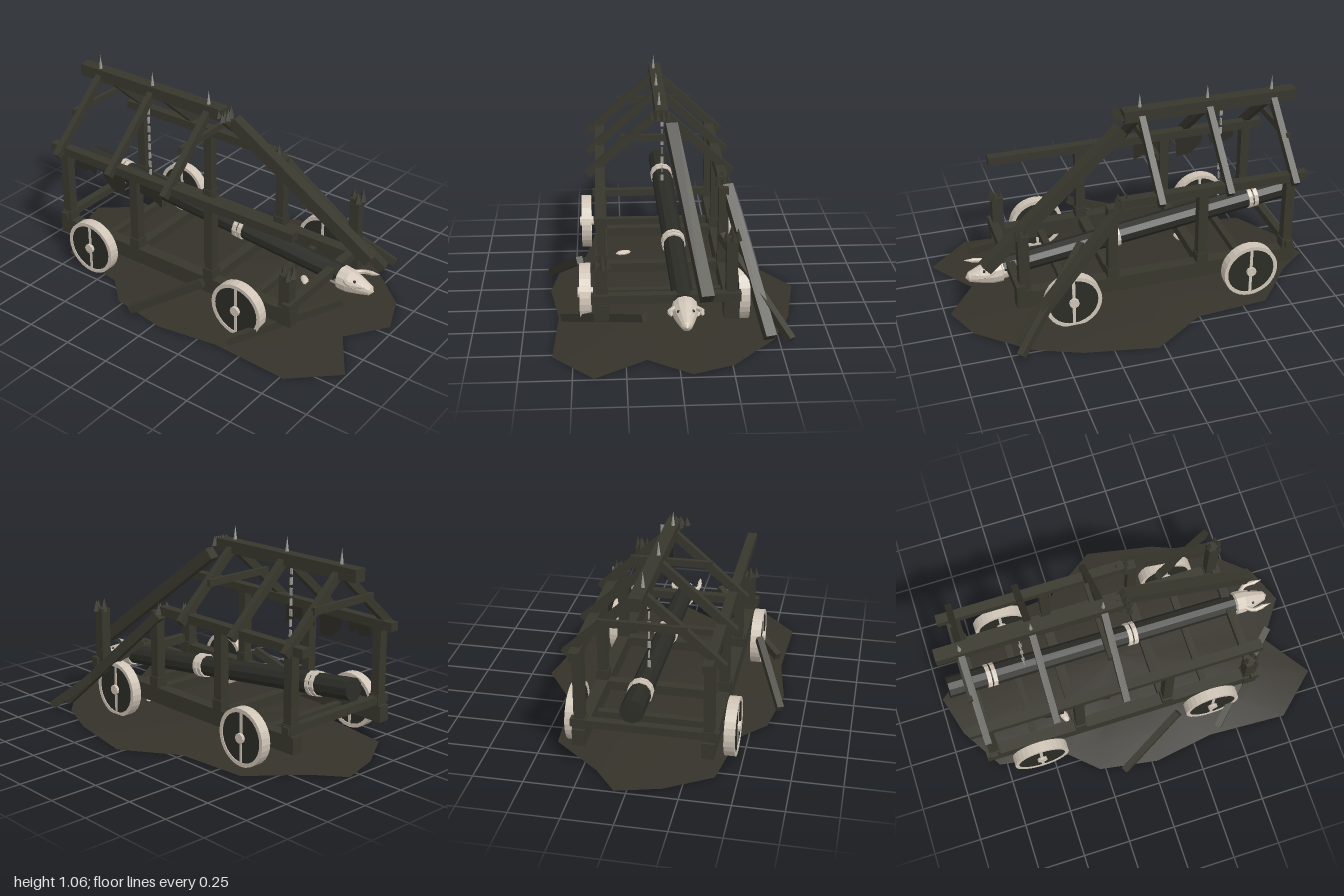
import * as THREE from 'three';

const mat = (name, hex) => {
  const m = new THREE.MeshStandardMaterial({ color: hex });
  m.name = name;
  m.flatShading = true;
  return m;
};

export function createModel() {
  const root = new THREE.Group();
  const wood = mat('weathered wood', 0x38372d);
  const log = mat('charred log', 0x2b2c26);
  const bone = mat('pale iron and bone', 0xcfc4b6);
  const steel = mat('grey steel', 0x9a9892);
  const earth = mat('dark earth', 0x35322a);
  earth.flatShading = false;
  const cloth = mat('torn hide', 0x2e2b24);
  earth.side = cloth.side = THREE.DoubleSide;

  const V = (x, y, z) => new THREE.Vector3(x, y, z);
  const add = (name, geo, m, x = 0, y = 0, z = 0, parent = root) => {
    const mesh = new THREE.Mesh(geo, m);
    mesh.name = name;
    mesh.position.set(x, y, z);
    parent.add(mesh);
    return mesh;
  };
  // square timber from point a to point b, w wide and h deep
  const beam = (name, a, b, w, h = w, m = wood) => {
    const A = V(...a), B = V(...b);
    const mesh = add(name, new THREE.BoxGeometry(w, h, A.distanceTo(B)), m);
    mesh.position.copy(A).add(B).multiplyScalar(0.5);
    mesh.lookAt(B);
    return mesh;
  };
  // round part whose own y axis points from a to b
  const rod = (name, a, b, r0, r1, sides, m) => {
    const A = V(...a), B = V(...b), d = B.clone().sub(A);
    const mesh = add(name, new THREE.CylinderGeometry(r1, r0, d.length(), sides), m);
    mesh.position.copy(A).add(B).multiplyScalar(0.5);
    mesh.quaternion.setFromUnitVectors(V(0, 1, 0), d.normalize());
    return mesh;
  };
  // jagged points on a snapped timber
  const splinters = (x, y, z, h = 0.07) => {
    for (const [dx, dz, k] of [[-0.028, 0.02, 0.85], [0.026, 0.018, 0.9], [0, -0.02, 1], [0.004, 0.03, 0.8]])
      add('splinter', new THREE.ConeGeometry(0.02, h * k, 4), wood, x + dx, y + h * k / 2 - 0.005, z + dz);
  };

  // ground mound: outline rising in rings to a low centre
  const outline = [[0.06, -0.99], [0.18, -0.84], [0.43, -0.63], [0.46, -0.25], [0.65, 0.03], [0.58, 0.4],
    [0.48, 0.64], [0.26, 0.89], [0.06, 0.97], [-0.15, 0.82], [-0.4, 0.99], [-0.6, 0.77], [-0.58, 0.35],
    [-0.63, 0.03], [-0.58, -0.28], [-0.45, -0.42], [-0.39, -0.79], [-0.16, -0.93]];
  const rings = [[1, 0], [0.75, 0.018], [0.45, 0.034], [0, 0.04]];
  const pos = [], idx = [], n = outline.length;
  for (const [s, y] of rings) for (const [x, z] of outline) pos.push(x * s, y, z * s);
  for (let r = 0; r < rings.length - 1; r++)
    for (let i = 0; i < n; i++) {
      const a = r * n + i, b = r * n + (i + 1) % n;
      idx.push(a, a + n, b);
      if (r < rings.length - 2) idx.push(b, a + n, b + n);
    }
  const mound = new THREE.BufferGeometry();
  mound.setAttribute('position', new THREE.Float32BufferAttribute(pos, 3));
  // corners run clockwise seen from below, so flip each face upward
  for (let i = 0; i < idx.length; i += 3) {
    const [a, b, c] = [idx[i], idx[i + 1], idx[i + 2]];
    const cr = (pos[b * 3 + 2] - pos[a * 3 + 2]) * (pos[c * 3] - pos[a * 3]) - (pos[b * 3] - pos[a * 3]) * (pos[c * 3 + 2] - pos[a * 3 + 2]);
    if (cr < 0) { idx[i + 1] = c; idx[i + 2] = b; }
  }
  mound.setIndex(idx);
  mound.computeVertexNormals();
  add('ground', mound, earth);

  // chassis rails, posts and upper rails
  const R = -0.36, L = 0.265;
  for (const x of [R, L]) {
    beam('chassisRail', [x, 0.173, -0.84], [x, 0.173, 0.665], 0.062, 0.085);
    for (const z of [0.16, -0.32, -0.795]) {
      beam('post', [x, 0.2, z], [x, 0.62, z], 0.05);
      add('postFoot', new THREE.BoxGeometry(0.064, 0.055, 0.06), wood, x, 0.24, z);
    }
    add('cornerBlock', new THREE.BoxGeometry(0.075, 0.1, 0.075), wood, x, 0.18, 0.625);
  }
  beam('brokenPost', [L, 0.2, 0.62], [L, 0.54, 0.62], 0.055);
  splinters(L, 0.53, 0.62);
  beam('brokenPost', [R, 0.2, 0.62], [R, 0.41, 0.62], 0.06);
  splinters(R, 0.4, 0.62, 0.065);
  beam('upperRail', [R, 0.633, -0.885], [R, 0.633, 0.655], 0.05, 0.045);
  beam('brokenUpperRail', [L, 0.633, -0.885], [L, 0.633, 0.12], 0.05, 0.045);
  splinters(L, 0.62, 0.1);

  // cross beams and axles
  beam('frontCrossBeam', [-0.41, 0.242, 0.645], [0.31, 0.242, 0.645], 0.045);
  for (const z of [0.15, -0.33]) beam('crossBeam', [-0.37, 0.19, z], [0.29, 0.19, z], 0.05, 0.05);
  beam('rearCrossBeam', [-0.41, 0.242, -0.8], [0.31, 0.242, -0.8], 0.04);
  for (const z of [0.39, -0.565]) {
    beam('axle', [-0.45, 0.155, z], [0.35, 0.155, z], 0.036);
    // wheels: plank disc, metal rim, strap and hub
    for (const s of [-1, 1]) {
      const w = new THREE.Group();
      w.name = 'wheel';
      w.position.set(s < 0 ? -0.442 : 0.342, 0.158, z);
      const turn = (mesh) => { mesh.rotation.z = Math.PI / 2; return mesh; };
      turn(add('wheelDisc', new THREE.CylinderGeometry(0.13, 0.13, 0.046, 24), log, 0, 0, 0, w));
      const rimShape = new THREE.Shape().absarc(0, 0, 0.147, 0, Math.PI * 2);
      rimShape.holes.push(new THREE.Path().absarc(0, 0, 0.127, 0, Math.PI * 2));
      const rim = add('wheelRim', new THREE.ExtrudeGeometry(rimShape, { depth: 0.054, bevelEnabled: false, curveSegments: 14 }), bone, -0.027, 0, 0, w);
      rim.rotation.y = Math.PI / 2;
      add('wheelStrap', new THREE.BoxGeometry(0.052, 0.26, 0.016), bone, 0, 0, 0, w);
      turn(add('wheelHub', new THREE.CylinderGeometry(0.026, 0.026, 0.078, 10), bone, 0, 0, 0, w));
      root.add(w);
    }
  }

  // roof frames, collars, ridge and iron spikes
  const cx = -0.04;
  for (const z of [-0.085, -0.45, -0.805]) {
    beam('rafter', [-0.425, 0.615, z], [cx, 0.955, z], 0.034, 0.042);
    beam('rafter', [0.325, 0.615, z], [cx, 0.955, z], 0.034, 0.042);
    rod('ridgeSpike', [cx - 0.01, 0.975, z], [cx - 0.01, 1.06, z], 0.011, 0, 6, steel);
  }
  for (const z of [-0.112, -0.825]) beam('collarTie', [-0.255, 0.798, z], [0.16, 0.798, z], 0.022, 0.036);
  beam('ridgeBeam', [cx, 0.953, -0.93], [cx, 0.953, 0.01], 0.065, 0.064);
  splinters(cx, 0.945, 0.01, 0.06);
  splinters(cx - 0.03, 0.945, 0.015, 0.055);
  beam('fallenRidge', [0.005, 0.905, 0.03], [0.135, 0.295, 0.79], 0.062, 0.062);

  // loose timbers leaning on the frame
  beam('leaningBeam', [0.285, 0.61, 0.12], [0.45, 0.04, 0.7], 0.055, 0.05);
  beam('leaningPlank', [0.24, 0.42, 0.31], [0.55, 0.03, 0.71], 0.035, 0.04);
  beam('leaningPlank', [-0.47, 0.245, 0.19], [-0.63, 0.03, -0.155], 0.035, 0.04);
  beam('leaningPlank', [-0.16, 0.22, 0.81], [-0.555, 0.03, 0.4], 0.035, 0.04);

  // ram log with hoops
  const ram = (z) => [0.012 + z * 0.032, 0.298 - z * 0.115, z];
  rod('ramLog', ram(-0.93), ram(0.68), 0.058, 0.052, 10, log);
  for (const z of [-0.715, -0.685, 0.065, 0.095]) rod('ramHoop', ram(z - 0.011), ram(z + 0.011), 0.063, 0.063, 12, bone);

  // beast head: collar, skull, muzzle, ears, horns
  const head = new THREE.Group();
  head.name = 'ramHead';
  head.position.set(0.035, 0.205, 0.72);
  head.rotation.x = 0.1;
  root.add(head);
  const profile = [[0, -0.09], [0.05, -0.09], [0.052, -0.035], [0.064, -0.03], [0.062, 0.02], [0.046, 0.08], [0.026, 0.14], [0, 0.158]];
  const skull = add('skull', new THREE.LatheGeometry(profile.map(p => new THREE.Vector2(...p)), 12), bone, 0, 0, 0, head);
  skull.rotation.x = Math.PI / 2;
  for (const s of [-1, 1]) {
    const pts = [V(s * 0.045, 0.025, 0.01), V(s * 0.075, 0.03, 0.05), V(s * 0.074, 0.045, 0.1)];
    add('horn', new THREE.TubeGeometry(new THREE.CatmullRomCurve3(pts), 5, 0.012, 6), bone, 0, 0, 0, head);
    const tip = add('hornTip', new THREE.ConeGeometry(0.012, 0.05, 6), bone, s * 0.073, 0.052, 0.122, head);
    tip.rotation.x = Math.PI / 2 - 0.3;
    add('eye', new THREE.SphereGeometry(0.009, 6, 4), log, s * 0.034, 0.032, 0.06, head);
  }

  // hanging chain, links turned by quarter steps
  for (let i = 0; i < 10; i++) {
    const flat = i % 2;
    add('chainLink', new THREE.BoxGeometry(flat ? 0.006 : 0.016, 0.036, flat ? 0.016 : 0.006), steel, -0.015, 0.43 + i * 0.053, -0.515);
  }

  // torn hides under the right upper rail
  const hides = [
    [[-0.15, 0.61], [-0.36, 0.61], [-0.355, 0.52], [-0.29, 0.54], [-0.22, 0.535], [-0.15, 0.5]],
    [[-0.39, 0.61], [-0.55, 0.61], [-0.54, 0.55], [-0.48, 0.495], [-0.4, 0.485]],
    [[-0.575, 0.61], [-0.73, 0.61], [-0.73, 0.555], [-0.67, 0.54], [-0.64, 0.565], [-0.6, 0.54]]];
  for (const h of hides) {
    const shape = new THREE.Shape(h.map(([z, y]) => new THREE.Vector2(-z, y)));
    add('tornHide', new THREE.ShapeGeometry(shape), cloth, R, 0, 0).rotation.y = Math.PI / 2;
  }

  // bones half buried in the ground
  for (const [x, z, a] of [[-0.24, -0.38, 0.3], [0.11, 0.42, 0.8]]) {
    const b = add('buriedBone', new THREE.SphereGeometry(0.03, 8, 6), bone, x, 0.036, z);
    b.scale.set(1.5, 0.45, 0.7);
    b.rotation.y = a;
  }
  return root;
}
